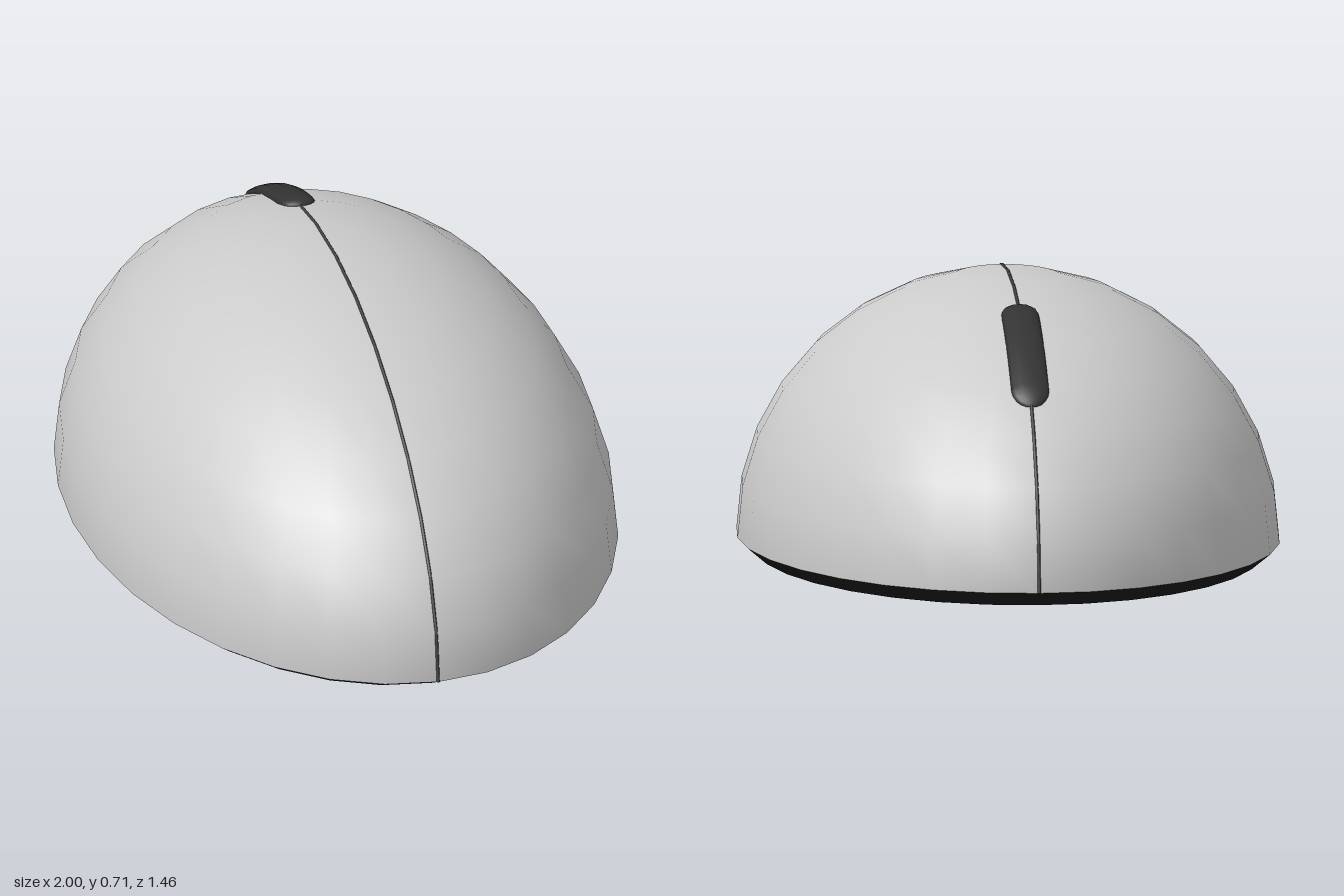
import * as THREE from 'three';

const A = 1.04, B = 0.675, H = 0.665, BASE = 0.04; // half length, half width, dome height, base height
const domeY = (u) => BASE + H * Math.sqrt(Math.max(0, 1 - (u / A) ** 2));

function part(name, geometry, color) {
  const mesh = new THREE.Mesh(geometry, new THREE.MeshStandardMaterial({ color }));
  mesh.name = name;
  return mesh;
}

export function createModel() {
  const mouse = new THREE.Group();
  mouse.name = 'computerMouse';

  // Smooth half-ellipsoid shell
  const dome = new THREE.SphereGeometry(1, 32, 8, 0, Math.PI * 2, 0, Math.PI / 2);
  dome.scale(A, H, B).translate(0, BASE, 0);
  mouse.add(part('shell', dome, 0xcccccc));

  // Dark base tapering inward to the floor
  const base = new THREE.CylinderGeometry(1, 0.93, BASE, 32);
  base.scale(A, 1, B).translate(0, BASE / 2, 0);
  mouse.add(part('base', base, 0x1a1a1a));

  // Thin seam running lengthwise over the shell, along its facets
  const seamPath = new THREE.CurvePath();
  const seamPoint = (i) => {
    const t = (i / 16) * Math.PI;
    return new THREE.Vector3(-A * Math.cos(t), BASE + H * Math.sin(t), 0);
  };
  for (let i = 0; i < 16; i++) {
    seamPath.add(new THREE.LineCurve3(seamPoint(i), seamPoint(i + 1)));
  }
  mouse.add(part('seam', new THREE.TubeGeometry(seamPath, 96, 0.004, 6), 0x444444));

  // Scroll wheel: flattened capsule bent to follow the shell
  const wheel = new THREE.CapsuleGeometry(0.047, 0.335, 5, 12, 8);
  wheel.rotateZ(Math.PI / 2).scale(1, 0.45, 1).translate(-0.57, 0, 0);
  const pos = wheel.attributes.position;
  for (let i = 0; i < pos.count; i++) {
    pos.setY(i, pos.getY(i) + domeY(pos.getX(i)) - 0.004);
  }
  wheel.computeVertexNormals();
  mouse.add(part('scrollWheel', wheel, 0x333333));

  // The whole body sits turned on the floor
  mouse.rotation.y = -THREE.MathUtils.degToRad(21);
  const model = new THREE.Group();
  model.add(mouse);
  return model;
}
